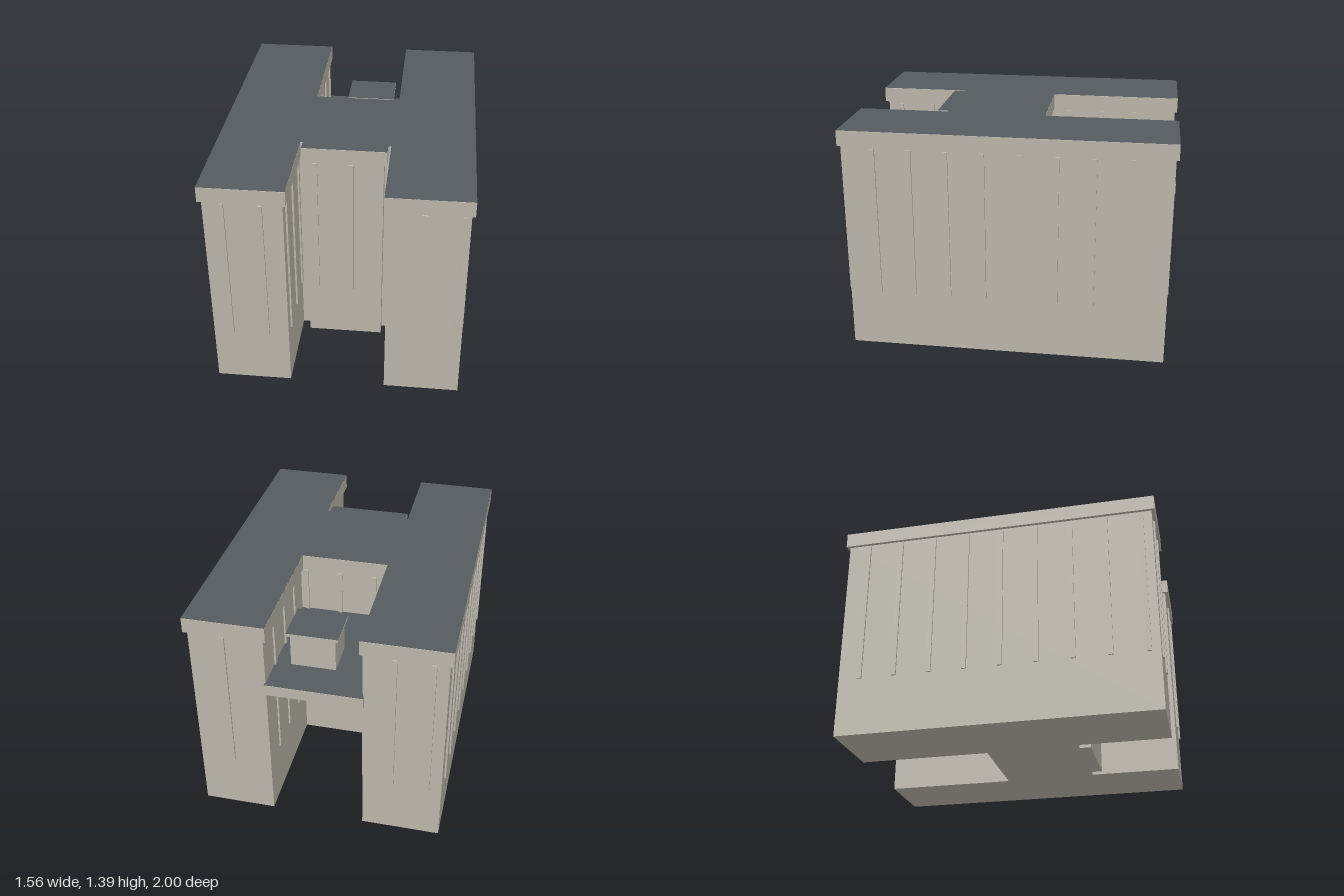
import * as THREE from 'three';

const wall = new THREE.MeshStandardMaterial({ color: 0xbfbaae });
wall.name = 'warm stone';
const roof = new THREE.MeshStandardMaterial({ color: 0x565b5f });
roof.name = 'slate grey';

// H-shaped roof outline as [x, z], starting at the front corner on the -x side
const ROOF = [
  [-0.768, 0.99], [-0.27, 0.99], [-0.27, 0.43], [-0.255, 0.43], [-0.255, 0.5], [0.255, 0.5],
  [0.255, 0.43], [0.272, 0.43], [0.272, 0.99], [0.768, 0.99],
  [0.768, -0.992], [0.283, -0.992], [0.283, -0.18], [-0.25, -0.18], [-0.25, -0.992], [-0.768, -0.992],
];
const EAVE = 0.02;

// Direction, length and outward normal of the edge leaving corner i
function edge(points, i) {
  const a = points[i], b = points[(i + 1) % points.length];
  const length = Math.hypot(b[0] - a[0], b[1] - a[1]);
  const dx = (b[0] - a[0]) / length, dz = (b[1] - a[1]) / length;
  return { a, dx, dz, length, nx: -dz, nz: dx };
}

// Pull a right-angled outline inwards
function inset(points, d) {
  return points.map(([x, z], i) => {
    const e = edge(points, i), p = edge(points, (i + points.length - 1) % points.length);
    return [x - d * (e.nx + p.nx), z - d * (e.nz + p.nz)];
  });
}

const rect = (x0, x1, z0, z1) => [[x0, z1], [x1, z1], [x1, z0], [x0, z0]];
const toShape = (points) => new THREE.Shape(points.map(([x, z]) => new THREE.Vector2(x, -z)));

// Upright prism over an outline
function prism(name, points, y0, y1) {
  const geometry = new THREE.ExtrudeGeometry(toShape(points), { depth: y1 - y0, bevelEnabled: false });
  geometry.rotateX(-Math.PI / 2).translate(0, y0, 0);
  const mesh = new THREE.Mesh(geometry, wall);
  mesh.name = name;
  return mesh;
}

// Stone-edged slab with a dark top sheet
function roofSlab(name, points, y0, y1) {
  const group = new THREE.Group();
  group.name = name;
  const sheet = new THREE.Mesh(new THREE.ShapeGeometry(toShape(points)), roof);
  sheet.geometry.rotateX(-Math.PI / 2).translate(0, y1, 0);
  sheet.name = name + 'Top';
  group.add(prism(name + 'Edge', points, y0, y1 - 0.002), sheet);
  return group;
}

// Thin vertical ribs at an even step all round the walls, left out close to corners
function ribs(points) {
  const group = new THREE.Group();
  group.name = 'wallRibs';
  const geometry = new THREE.BoxGeometry(0.028, 0.925, 0.022);
  const step = 0.2178, margin = 0.025;
  let along = 0.11;
  points.forEach((_, i) => {
    const e = edge(points, i);
    for (; along < e.length; along += step) {
      if (along < margin || along > e.length - margin) continue;
      const rib = new THREE.Mesh(geometry, wall);
      rib.name = 'rib';
      rib.position.set(e.a[0] + e.dx * along, 0.8225, e.a[1] + e.dz * along);
      rib.rotation.y = Math.atan2(e.nx, e.nz);
      group.add(rib);
    }
    along -= e.length;
  });
  return group;
}

export function createModel() {
  const model = new THREE.Group();
  model.name = 'building';
  const walls = inset(ROOF, EAVE);

  // Main block
  model.add(prism('walls', walls, 0, 1.3), ribs(walls), roofSlab('mainRoof', ROOF, 1.3, 1.395));

  // Raised deck filling the rear court, with a small roof hut
  const hut = rect(-0.083, 0.228, -0.787, -0.518);
  model.add(
    roofSlab('rearDeck', rect(-0.275, 0.307, -0.995, -0.155), 0.93, 1.0),
    prism('hutWalls', inset(hut, EAVE), 0.998, 1.21),
    roofSlab('hutRoof', hut, 1.21, 1.23),
  );

  // Whole building stands slightly turned
  model.rotation.y = 0.01;
  return model;
}
